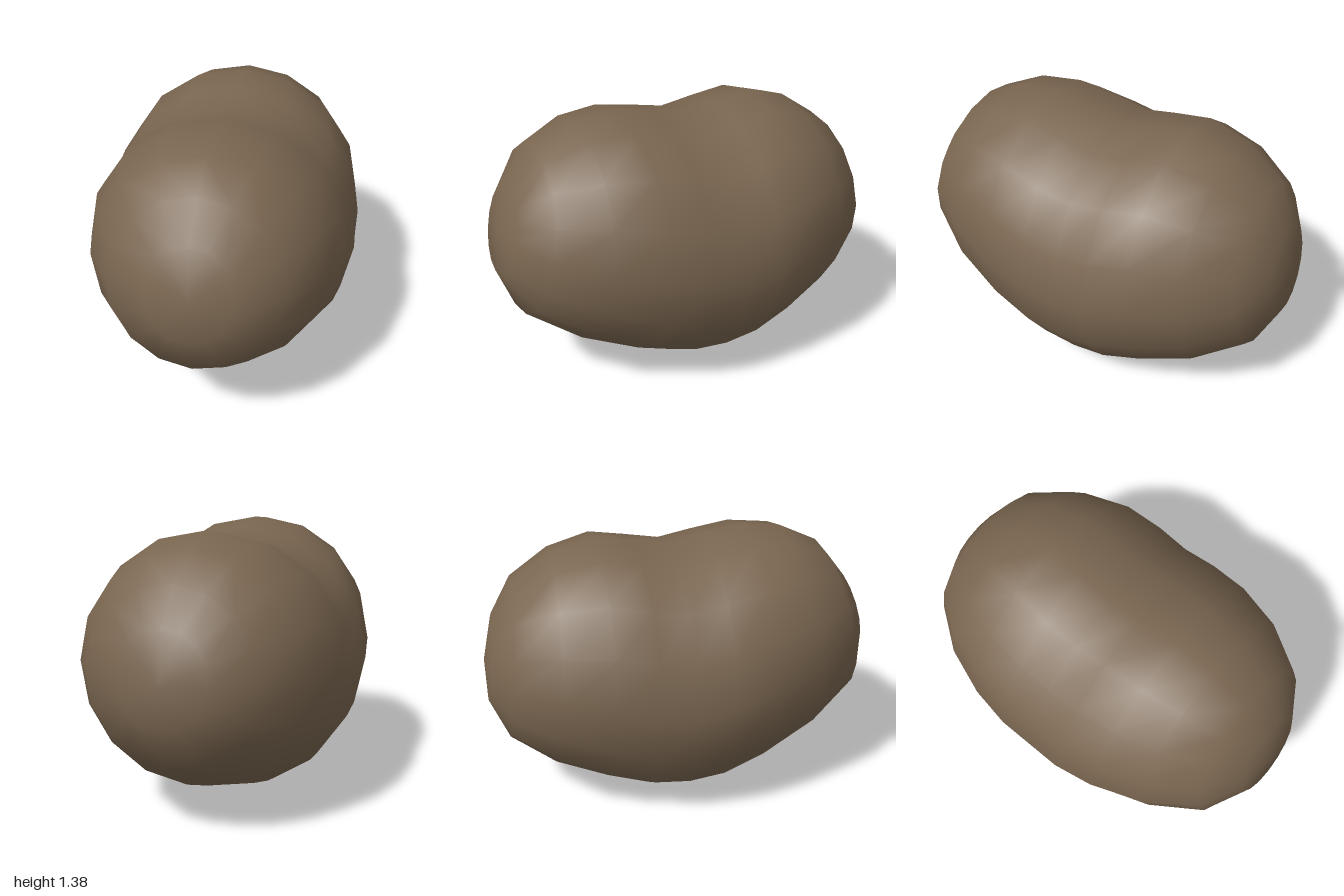
import * as THREE from 'three';

const SIDES = 16;

// Cross-sections from front to back: [top z, top y, bottom z, bottom y, half width]
const RINGS = [
  [0.89, 1.10, 1.00, 0.67, 0.21],
  [0.75, 1.27, 0.92, 0.45, 0.41],
  [0.55, 1.36, 0.66, 0.25, 0.56],
  [0.34, 1.38, 0.36, 0.10, 0.645],
  [0.14, 1.345, 0.14, 0.02, 0.675],
  [-0.04, 1.31, -0.04, 0.00, 0.672],
  [-0.22, 1.34, -0.22, 0.02, 0.675],
  [-0.41, 1.37, -0.43, 0.09, 0.645],
  [-0.63, 1.31, -0.69, 0.20, 0.56],
  [-0.83, 1.18, -0.91, 0.36, 0.41],
  [-0.94, 1.00, -1.00, 0.56, 0.22],
];
const FRONT_TIP = [0, 0.88, 0.97];
const BACK_TIP = [0, 0.77, -1.0];

// Loft of tilted elliptical rings, closed by a fan at each tip
function beanGeometry() {
  const positions = [];
  const index = [];
  for (const [zt, yt, zb, yb, w] of RINGS) {
    for (let k = 0; k < SIDES; k++) {
      const a = (k / SIDES) * Math.PI * 2;
      const t = (1 - Math.cos(a)) / 2;
      positions.push(
        w * Math.sin(a),
        THREE.MathUtils.lerp(yt, yb, t),
        THREE.MathUtils.lerp(zt, zb, t)
      );
    }
  }
  const front = RINGS.length * SIDES;
  const back = front + 1;
  positions.push(...FRONT_TIP, ...BACK_TIP);

  const lastRing = (RINGS.length - 1) * SIDES;
  for (let k = 0; k < SIDES; k++) {
    const n = (k + 1) % SIDES;
    index.push(front, n, k);
    index.push(back, lastRing + k, lastRing + n);
    for (let r = 0; r < lastRing; r += SIDES) {
      const a = r + k, b = r + n, c = a + SIDES, d = b + SIDES;
      index.push(a, b, c, b, d, c);
    }
  }

  const geometry = new THREE.BufferGeometry();
  geometry.setAttribute('position', new THREE.Float32BufferAttribute(positions, 3));
  geometry.setIndex(index);
  geometry.computeVertexNormals();
  return geometry;
}

export function createModel() {
  const group = new THREE.Group();
  group.name = 'bean';
  const body = new THREE.Mesh(
    beanGeometry(),
    new THREE.MeshStandardMaterial({ color: 0x7a6650 })
  );
  body.name = 'beanBody';
  group.add(body);
  return group;
}
